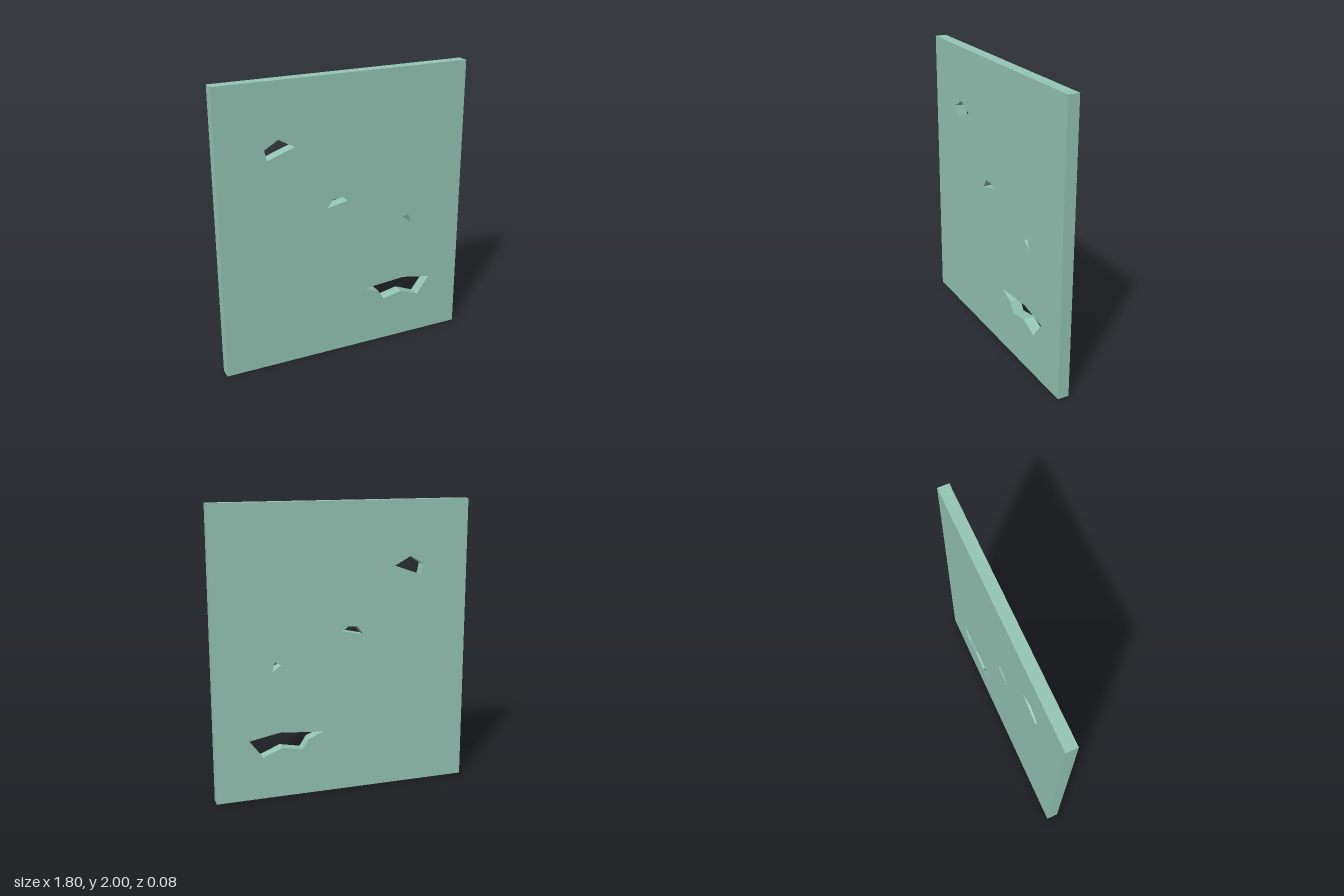
import * as THREE from 'three';

const WIDTH = 1.8, HEIGHT = 2, DEPTH = 0.08;

// Outlines of the jagged holes, as [x, y] corners
const HOLES = [
  [[-0.575, 1.563], [-0.48, 1.62], [-0.367, 1.558], [-0.56, 1.49]],
  [[-0.142, 1.098], [-0.1, 1.155], [-0.03, 1.16], [0.005, 1.13]],
  [[0.437, 0.93], [0.48, 0.95], [0.502, 0.885]],
  [[0.147, 0.435], [0.455, 0.46], [0.67, 0.42], [0.575, 0.295],
    [0.44, 0.35], [0.298, 0.322], [0.253, 0.392]],
];

const toPoints = (corners) => corners.map(([x, y]) => new THREE.Vector2(x, y));

export function createModel() {
  const group = new THREE.Group();
  group.name = 'brokenWall';

  // Flat slab outline, pierced right through by the holes
  const w = WIDTH / 2;
  const outline = new THREE.Shape(toPoints([[-w, 0], [w, 0], [w, HEIGHT], [-w, HEIGHT]]));
  outline.holes = HOLES.map((corners) => new THREE.Path(toPoints(corners)));

  const geometry = new THREE.ExtrudeGeometry(outline, { depth: DEPTH, bevelEnabled: false });
  geometry.translate(0, 0, -DEPTH / 2);

  const material = new THREE.MeshStandardMaterial({ color: 0x94c5b5, flatShading: true });
  const panel = new THREE.Mesh(geometry, material);
  panel.name = 'wallPanel';
  group.add(panel);
  return group;
}
